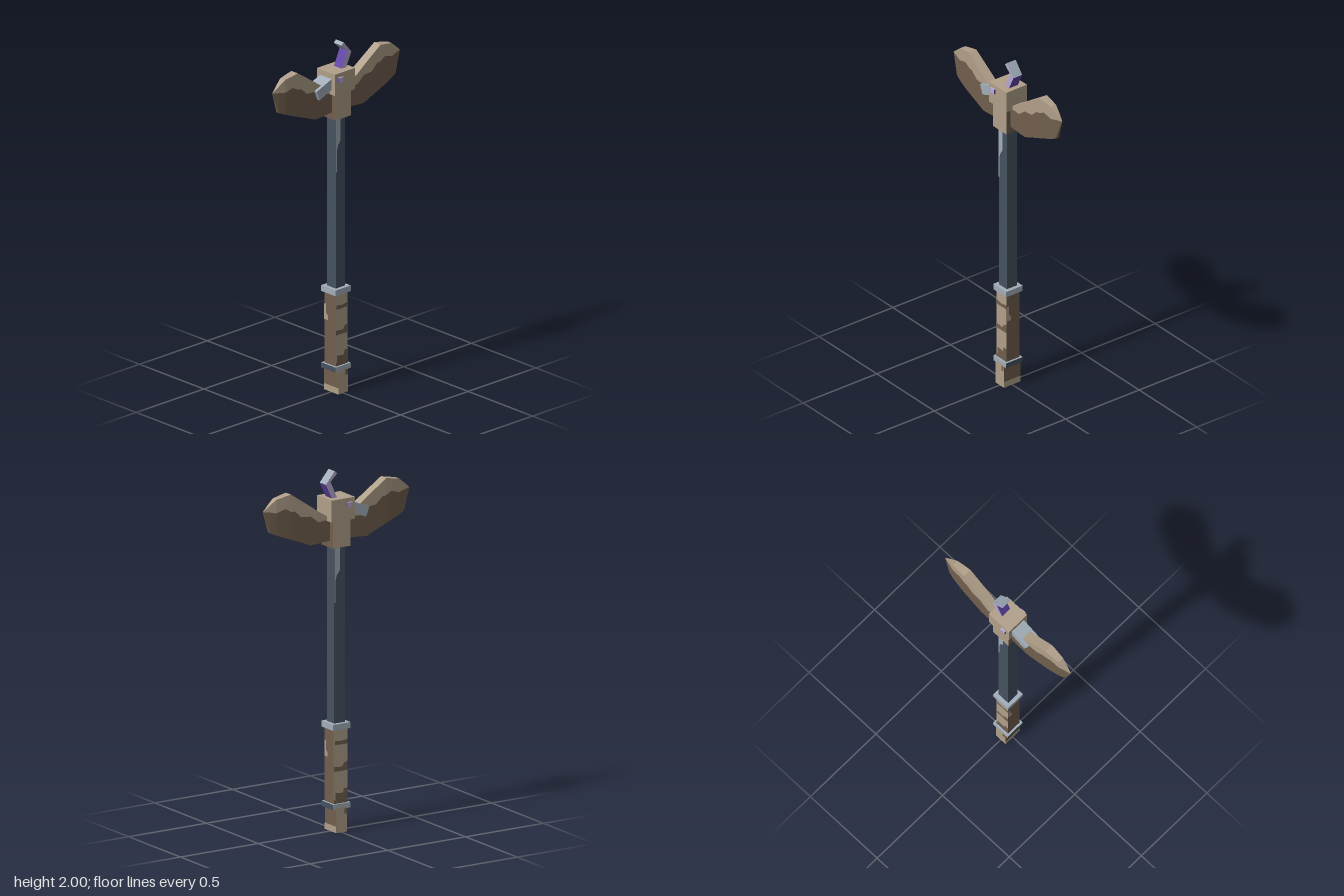
import * as THREE from 'three';

const mat = (name, color, extra = {}) => {
  const m = new THREE.MeshStandardMaterial({ color, flatShading: true, ...extra });
  m.name = name;
  return m;
};

export function createModel() {
  const tan = mat('tan', 0xb1a08a);
  const brown = mat('brown', 0x705f4d);
  const slate = mat('slate', 0x465261);
  const steel = mat('steel', 0xa1aeba);
  const lavender = mat('lavender', 0xb5a9d0);
  const purple = mat('purple', 0x6245a8);

  const root = new THREE.Group();
  root.name = 'birdStaff';

  const add = (name, geometry, material, parent = root) => {
    const mesh = new THREE.Mesh(geometry, material);
    mesh.name = name;
    parent.add(mesh);
    return mesh;
  };
  // Box given by full width and depth, bottom and top
  const block = (name, w, d, y0, y1, material) => {
    const mesh = add(name, new THREE.BoxGeometry(w, y1 - y0, d), material);
    mesh.position.y = (y0 + y1) / 2;
    return mesh;
  };
  const sidesBrown = [brown, brown, tan, tan, tan, tan];

  // Handle and shaft
  block('pommel', 0.07, 0.112, 0, 0.14, sidesBrown);
  block('lowerRing', 0.112, 0.112, 0.13, 0.16, [slate, slate, steel, slate, steel, steel]);
  block('grip', 0.088, 0.088, 0.14, 0.58, sidesBrown);
  block('upperRing', 0.112, 0.112, 0.57, 0.603, steel);
  block('shaft', 0.07, 0.07, 0.6, 1.59, slate);

  // Thin painted patches, repeated on the opposite face by a half turn
  const patch = (name, points, distance, turn, material) => {
    const shape = new THREE.Shape(points.map(([x, y]) => new THREE.Vector2(x, y)));
    for (const angle of [turn, turn + Math.PI]) {
      const holder = new THREE.Group();
      holder.name = name;
      holder.rotation.y = angle;
      add(name, new THREE.ShapeGeometry(shape), material, holder).position.z = distance + 0.0015;
      root.add(holder);
    }
  };
  patch('shaftGlint', [[-0.035, 1.27], [-0.028, 1.27], [-0.028, 1.39], [-0.02, 1.42], [0, 1.45],
    [0, 1.58], [-0.035, 1.58]], 0.035, 0, steel);
  patch('gripBandTop', [[-0.038, 0.485], [0.044, 0.485], [0.044, 0.51], [0, 0.503], [-0.038, 0.51]], 0.044, 0, brown);
  patch('gripBandMiddle', [[-0.044, 0.338], [0.044, 0.338], [0.044, 0.39], [0.02, 0.38], [0.01, 0.36],
    [-0.044, 0.365]], 0.044, 0, brown);
  patch('gripBandBottom', [[-0.044, 0.16], [0.044, 0.16], [0.044, 0.24], [0.02, 0.24], [0.015, 0.215],
    [-0.035, 0.22], [-0.035, 0.18], [-0.044, 0.18]], 0.044, 0, brown);
  patch('gripSpot', [[-0.044, 0.41], [-0.015, 0.41], [-0.015, 0.435], [-0.03, 0.45], [-0.03, 0.5],
    [-0.044, 0.5]], 0.044, Math.PI / 2, tan);
  patch('pommelNick', [[0.015, 0.1], [0.035, 0.1], [0.035, 0.13], [0.015, 0.13]], 0.056, 0, brown);
  patch('pommelStrip', [[-0.056, 0], [0.056, 0], [0.056, 0.036], [-0.056, 0.036]], 0.035, Math.PI / 2, tan);

  // Body, head, beak and eyes
  block('body', 0.114, 0.112, 1.58, 1.735, [brown, brown, tan, brown, tan, tan]);
  block('head', 0.15, 0.14, 1.73, 1.852, [tan, tan, tan, brown, tan, tan]);
  const beak = add('beak', new THREE.BoxGeometry(0.15, 0.058, 0.09), steel);
  beak.position.set(-0.105, 1.777, 0);
  beak.rotation.z = 0.38;
  for (const s of [1, -1]) {
    const eye = add('eye', new THREE.BoxGeometry(0.034, 0.028, 0.012),
      [purple, purple, lavender, purple, lavender, lavender]);
    eye.position.set(-0.037, 1.815, s * 0.074);
  }

  // Bent crest in two prisms
  const prism = (name, points, sideMaterial) => {
    const shape = new THREE.Shape(points.map(([x, y]) => new THREE.Vector2(x, y)));
    const g = new THREE.ExtrudeGeometry(shape, { depth: 0.06, bevelEnabled: false });
    add(name, g.translate(0, 0, -0.03), [lavender, sideMaterial]);
  };
  prism('crestBase', [[0.012, 1.848], [0.045, 1.848], [0.085, 1.932], [0.055, 1.945]], purple);
  prism('crestTip', [[0.055, 1.945], [0.085, 1.932], [0.028, 2], [0.012, 1.985]], steel);

  // Wing stations: x, bottom, colour border, top, half thickness
  const stations = [
    [0.03, 1.62, 1.715, 1.728, 0.028], [0.09, 1.617, 1.735, 1.765, 0.028],
    [0.13, 1.613, 1.73, 1.79, 0.028], [0.18, 1.61, 1.77, 1.825, 0.027],
    [0.24, 1.635, 1.775, 1.866, 0.026], [0.28, 1.65, 1.812, 1.893, 0.0255],
    [0.305, 1.66, 1.815, 1.91, 0.025], [0.34, 1.673, 1.835, 1.904, 0.023],
    [0.395, 1.695, 1.818, 1.893, 0.018], [0.43, 1.71, 1.826, 1.865, 0.011],
    [0.47, 1.828, 1.83, 1.832, 0.001],
  ];
  // Loft of rectangles between two height columns, for one side of the bird
  const loft = (side, low, high) => {
    const pos = [];
    const index = [];
    stations.forEach((p, i) => {
      const x = side * p[0], h = p[4];
      pos.push(x, p[low], h, x, p[high], h, x, p[high], -h, x, p[low], -h);
      if (i === 0) return;
      const a = (i - 1) * 4, b = i * 4;
      for (let k = 0; k < 4; k++) {
        const n = (k + 1) % 4;
        const quad = [a + k, b + k, b + n, a + k, b + n, a + n];
        index.push(...(side > 0 ? quad : quad.reverse()));
      }
    });
    const g = new THREE.BufferGeometry();
    g.setAttribute('position', new THREE.Float32BufferAttribute(pos, 3));
    g.setIndex(index);
    const flat = g.toNonIndexed();
    flat.computeVertexNormals();
    return flat;
  };
  for (const [name, side] of [['leftWing', 1], ['rightWing', -1]]) {
    const wing = new THREE.Group();
    wing.name = name;
    add(name + 'Upper', loft(side, 2, 3), tan, wing);
    add(name + 'Lower', loft(side, 1, 2), brown, wing);
    root.add(wing);
  }
  return root;
}
